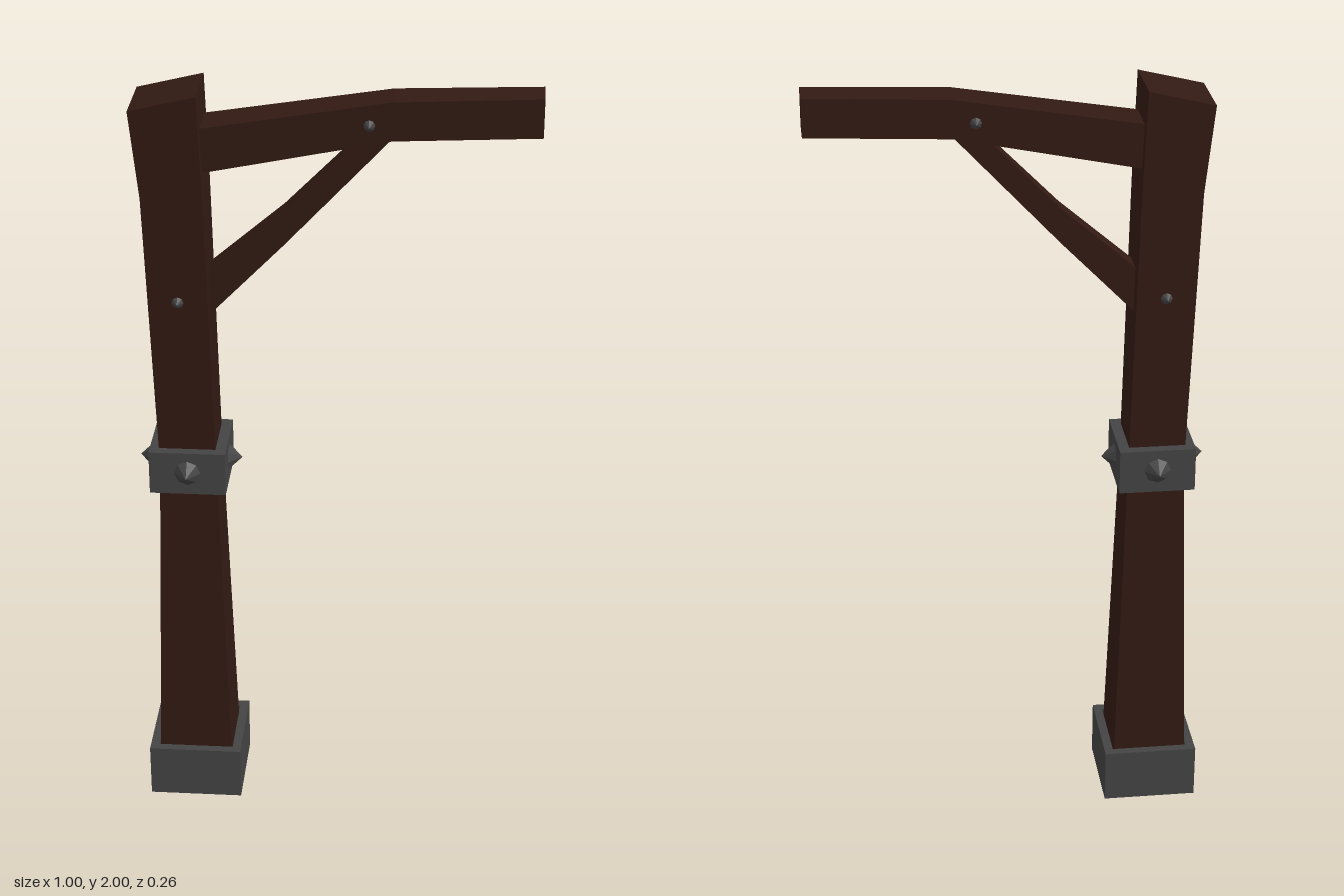
import * as THREE from 'three';

const wood = new THREE.MeshStandardMaterial({ color: 0x321a13, flatShading: true });
const iron = new THREE.MeshStandardMaterial({ color: 0x444444, flatShading: true });

// Four-sided timber through sections [ax, ay, bx, by, halfDepth];
// a lies to the left of the direction of travel, b to the right.
function timber(name, sections) {
  const rings = sections.map(([ax, ay, bx, by, h]) => [
    [ax, ay, h], [bx, by, h], [bx, by, -h], [ax, ay, -h],
  ]);
  const pos = [];
  const quad = (a, b, c, d) => pos.push(...a, ...b, ...c, ...a, ...c, ...d);
  for (let i = 0; i < rings.length - 1; i++) {
    for (let j = 0; j < 4; j++) {
      const k = (j + 1) % 4;
      quad(rings[i][j], rings[i][k], rings[i + 1][k], rings[i + 1][j]);
    }
  }
  quad(...[...rings[0]].reverse());
  quad(...rings[rings.length - 1]);
  const geo = new THREE.BufferGeometry();
  geo.setAttribute('position', new THREE.Float32BufferAttribute(pos, 3));
  geo.computeVertexNormals();
  const mesh = new THREE.Mesh(geo, wood);
  mesh.name = name;
  return mesh;
}

// Square iron sleeve with a square opening
function sleeve(name, x, y, half, hole, height) {
  const square = (P, r) => {
    const p = new P();
    p.moveTo(-r, -r).lineTo(r, -r).lineTo(r, r).lineTo(-r, r).closePath();
    return p;
  };
  const shape = square(THREE.Shape, half);
  shape.holes.push(square(THREE.Path, hole));
  const geo = new THREE.ExtrudeGeometry(shape, { depth: height, bevelEnabled: false });
  geo.rotateX(-Math.PI / 2);
  const mesh = new THREE.Mesh(geo, iron);
  mesh.name = name;
  mesh.position.set(x, y, 0);
  return mesh;
}

// Pointed stud whose base sits at (x, y, z), turned about y to face outward
function stud(name, x, y, z, angle, radius, height) {
  const sink = 0.006;
  const geo = new THREE.ConeGeometry(radius, height, 8);
  geo.rotateX(Math.PI / 2).translate(0, 0, height / 2 - sink).rotateY(angle);
  const mesh = new THREE.Mesh(geo, iron);
  mesh.name = name;
  mesh.position.set(x, y, z);
  return mesh;
}

export function createModel() {
  const group = new THREE.Group();
  group.name = 'hangingPost';
  const cx = -0.372;

  // Tapered, slightly bent upright with a slanted top
  group.add(timber('post', [
    [-0.472, 0.005, -0.272, 0.005, 0.1],
    [-0.445, 1.0, -0.3, 1.0, 0.071],
    [-0.468, 1.735, -0.316, 1.735, 0.081],
    [-0.49, 1.96, -0.325, 2.0, 0.086],
  ]));

  // Bent arm
  group.add(timber('arm', [
    [-0.36, 1.903, -0.36, 1.788, 0.056],
    [0.14, 1.985, 0.14, 1.887, 0.049],
    [0.5, 2.0, 0.5, 1.902, 0.044],
  ]));

  // Diagonal brace
  group.add(timber('brace', [
    [-0.35, 1.495, -0.35, 1.37, 0.034],
    [-0.125, 1.69, -0.125, 1.6, 0.028],
    [0.09, 1.91, 0.16, 1.905, 0.022],
  ]));

  // Iron foot and middle band
  group.add(sleeve('foot', cx, 0, 0.123, 0.1, 0.145));
  group.add(sleeve('band', cx, 0.93, 0.098, 0.07, 0.117));

  // Large studs on each face of the band
  for (let i = 0; i < 4; i++) {
    const a = (i * Math.PI) / 2;
    group.add(stud('bandStud', cx + Math.sin(a) * 0.098, 0.99, Math.cos(a) * 0.098, a, 0.04, 0.04));
  }

  // Small studs on both sides of the post and arm
  for (const s of [1, -1]) {
    const a = s > 0 ? 0 : Math.PI;
    group.add(stud('postStud', -0.385, 1.46, s * 0.077, a, 0.02, 0.025));
    group.add(stud('armStud', 0.085, 1.925, s * 0.049, a, 0.02, 0.025));
  }
  return group;
}
